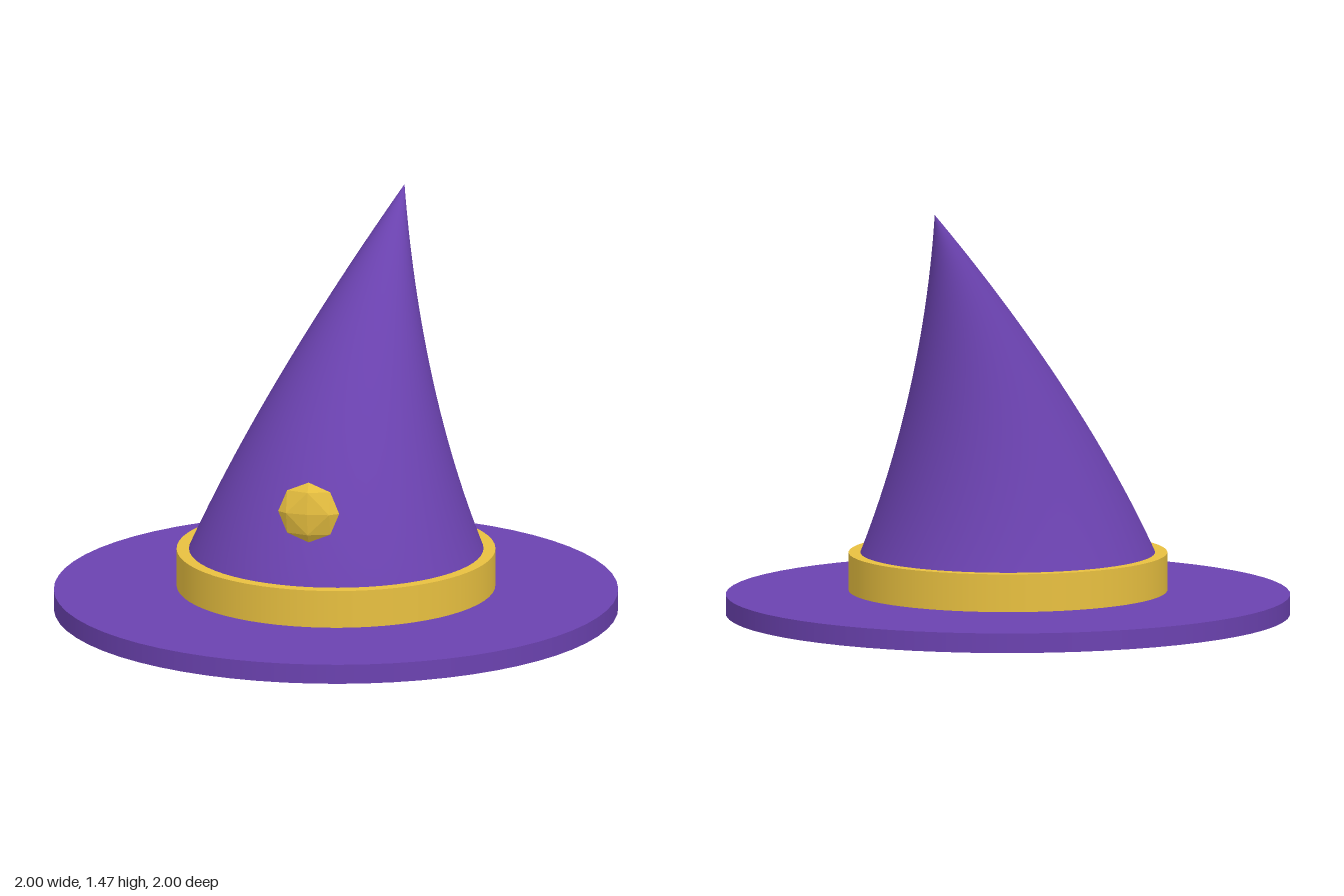
import * as THREE from 'three';

const purple = new THREE.MeshStandardMaterial({ color: 0x6b42b0 });
const gold = new THREE.MeshStandardMaterial({ color: 0xe8c040 });
const goldFaceted = new THREE.MeshStandardMaterial({ color: 0xe8c040, flatShading: true });

function part(name, geometry, material, y, z = 0) {
  const mesh = new THREE.Mesh(geometry, material);
  mesh.name = name;
  mesh.position.set(0, y, z);
  return mesh;
}

// Cone whose centre line leans progressively towards the tip
function bentCone(radius, height, tipX, tipZ) {
  const geometry = new THREE.ConeGeometry(radius, height, 64, 32);
  geometry.translate(0, height / 2, 0);
  const p = geometry.attributes.position;
  for (let i = 0; i < p.count; i++) {
    const bend = Math.pow(Math.max(0, p.getY(i) / height), 1.8);
    p.setX(i, p.getX(i) + tipX * bend);
    p.setZ(i, p.getZ(i) + tipZ * bend);
  }
  geometry.computeVertexNormals();
  // Average the normals across the side seam
  const n = geometry.attributes.normal;
  for (let row = 0; row <= 32; row++) {
    const a = row * 65, b = a + 64;
    const v = new THREE.Vector3().fromBufferAttribute(n, a)
      .add(new THREE.Vector3().fromBufferAttribute(n, b)).normalize();
    n.setXYZ(a, v.x, v.y, v.z);
    n.setXYZ(b, v.x, v.y, v.z);
  }
  return geometry;
}

export function createModel() {
  const hat = new THREE.Group();
  hat.name = 'pointedHat';

  // Flat round brim
  hat.add(part('brim', new THREE.CylinderGeometry(1, 1, 0.07, 64), purple, 0.035));

  // Low core joining brim and band
  hat.add(part('core', new THREE.CylinderGeometry(0.33, 0.33, 0.05, 48), purple, 0.085));

  // Band around the foot of the crown
  hat.add(part('band', new THREE.CylinderGeometry(0.565, 0.565, 0.135, 64), gold, 0.1525));

  // Leaning crown
  hat.add(part('crown', bentCone(0.545, 1.305, 0.18, -0.36), purple, 0.165));

  // Faceted, flattened ornament in front of the crown
  const ornament = part('ornament', new THREE.OctahedronGeometry(0.11, 1), goldFaceted, 0.497, 0.53);
  ornament.scale.z = 0.3;
  hat.add(ornament);

  return hat;
}
